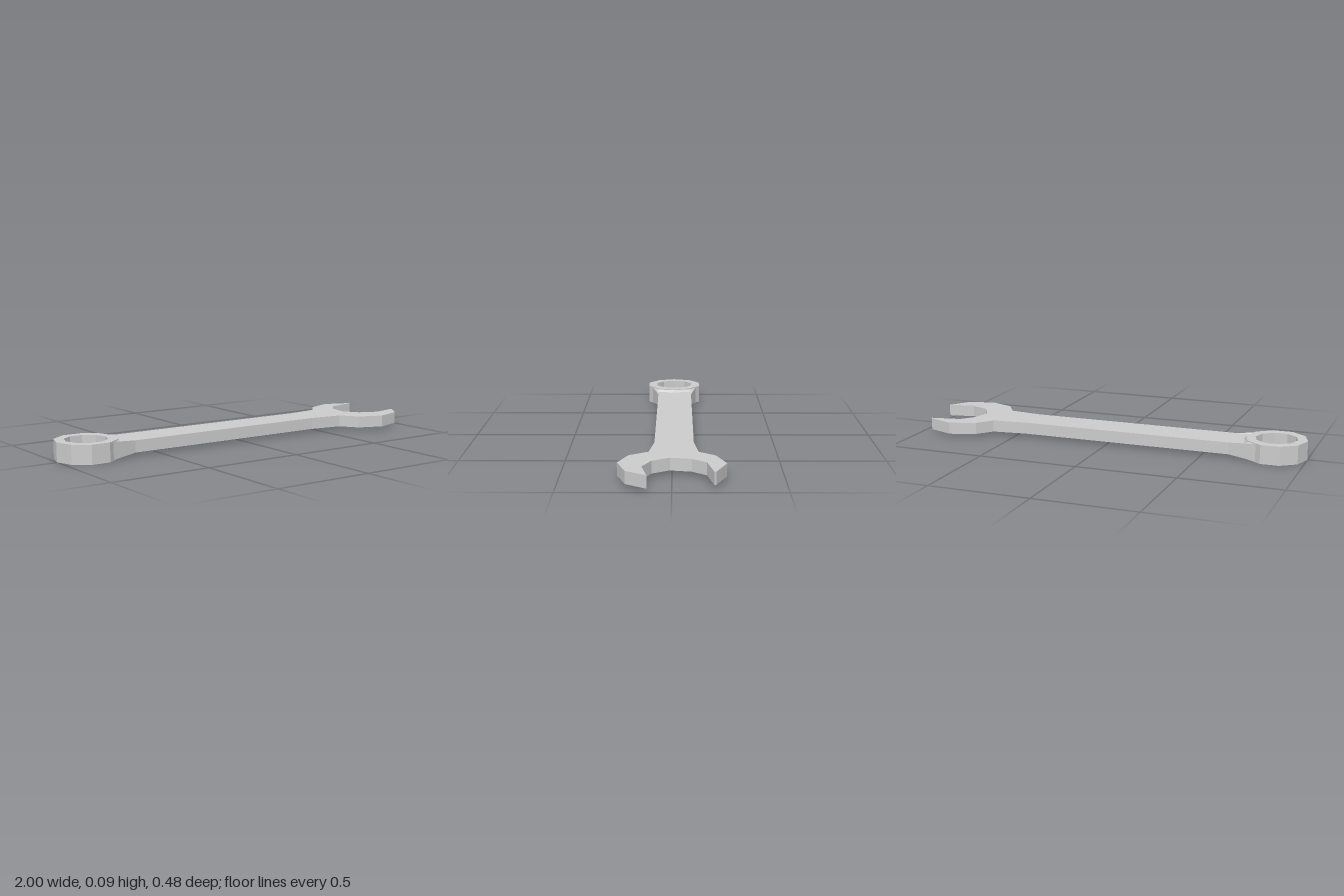
import * as THREE from 'three';

const RING_X = -0.848, RING_Z = -0.005;
const THICKNESS = 0.093, PLATE_BOTTOM = 0.017, PLATE_TOP = 0.076;

// Trace [x, z] points as a shape lying in the ground plane
const trace = (pts, Type = THREE.Shape) => new Type(pts.map(([x, z]) => new THREE.Vector2(x, -z)));

// Regular polygon, counter-clockwise seen from above
const polygon = (radius, sides) => Array.from({ length: sides }, (_, i) => {
  const a = (i / sides) * Math.PI * 2;
  return [RING_X + radius * Math.cos(a), RING_Z - radius * Math.sin(a)];
});

function plate(shape, bottom, top) {
  const geo = new THREE.ExtrudeGeometry(shape, { depth: top - bottom, bevelEnabled: false });
  return geo.rotateX(-Math.PI / 2).translate(0, bottom, 0);
}

// Sloped collar from the ring's face down to the handle, with a wedge on each flared side
function collar() {
  const high = 0.09, low = PLATE_TOP;
  const point = (x, dz, y) => [x, y, RING_Z + dz];
  const flares = [point(-0.78, 0.125, high), point(-0.78, -0.126, high)];
  const corners = [[-0.635, low, 0.084], [-0.635, low, -0.101]];
  const inner = [point(-0.727, 0.089, high), point(-0.697, 0, high), point(-0.727, -0.089, high)];
  const outer = [point(-0.717, 0.1, low), point(-0.688, 0, low), point(-0.717, -0.1, low)];
  const [front, back] = flares;
  const triangles = [
    // slope
    front, outer[0], inner[0],
    inner[0], outer[0], outer[1], inner[0], outer[1], inner[1],
    inner[1], outer[1], outer[2], inner[1], outer[2], inner[2],
    inner[2], outer[2], back,
    // wedge tops
    front, corners[0], outer[0],
    back, outer[2], corners[1],
    // wedge sides
    front, [front[0], low, front[2]], corners[0],
    back, corners[1], [back[0], low, back[2]],
  ];
  const geo = new THREE.BufferGeometry();
  geo.setAttribute('position', new THREE.Float32BufferAttribute(triangles.flat(), 3));
  geo.computeVertexNormals();
  return geo;
}

export function createModel() {
  const group = new THREE.Group();
  const steel = new THREE.MeshStandardMaterial({ color: 0xcccccc, flatShading: true });
  const openSteel = steel.clone();
  openSteel.side = THREE.DoubleSide;
  const add = (name, geo, mat = steel) => {
    const mesh = new THREE.Mesh(geo, mat);
    mesh.name = name;
    group.add(mesh);
    return mesh;
  };

  // Handle and open jaw in one plate
  const outline = [
    [-0.78, 0.12], [-0.635, 0.084], [0.445, 0.084], [0.617, 0.107],
    [0.675, 0.195], [0.8, 0.242], [0.932, 0.201], [1, 0.106],
    [0.865, 0.132], [0.77, 0.09], [0.72, 0.01], [0.74, -0.088],
    [0.797, -0.154], [0.946, -0.182], [0.942, -0.191], [0.81, -0.242],
    [0.68, -0.197], [0.617, -0.121], [0.445, -0.101], [-0.635, -0.101],
    [-0.78, -0.131], [-0.735, -0.087], [-0.71, RING_Z], [-0.735, 0.077],
  ];
  add('handleAndOpenJaw', plate(trace(outline), PLATE_BOTTOM, PLATE_TOP));

  // Ten-sided ring
  const ring = trace(polygon(0.152, 10));
  ring.holes.push(trace(polygon(0.104, 10), THREE.Path));
  add('ring', plate(ring, 0, THICKNESS));

  // Collars above and below, where the ring meets the handle
  add('upperCollar', collar(), openSteel);
  const lower = add('lowerCollar', collar(), openSteel);
  lower.scale.y = -1;
  lower.position.y = THICKNESS;

  return group;
}
